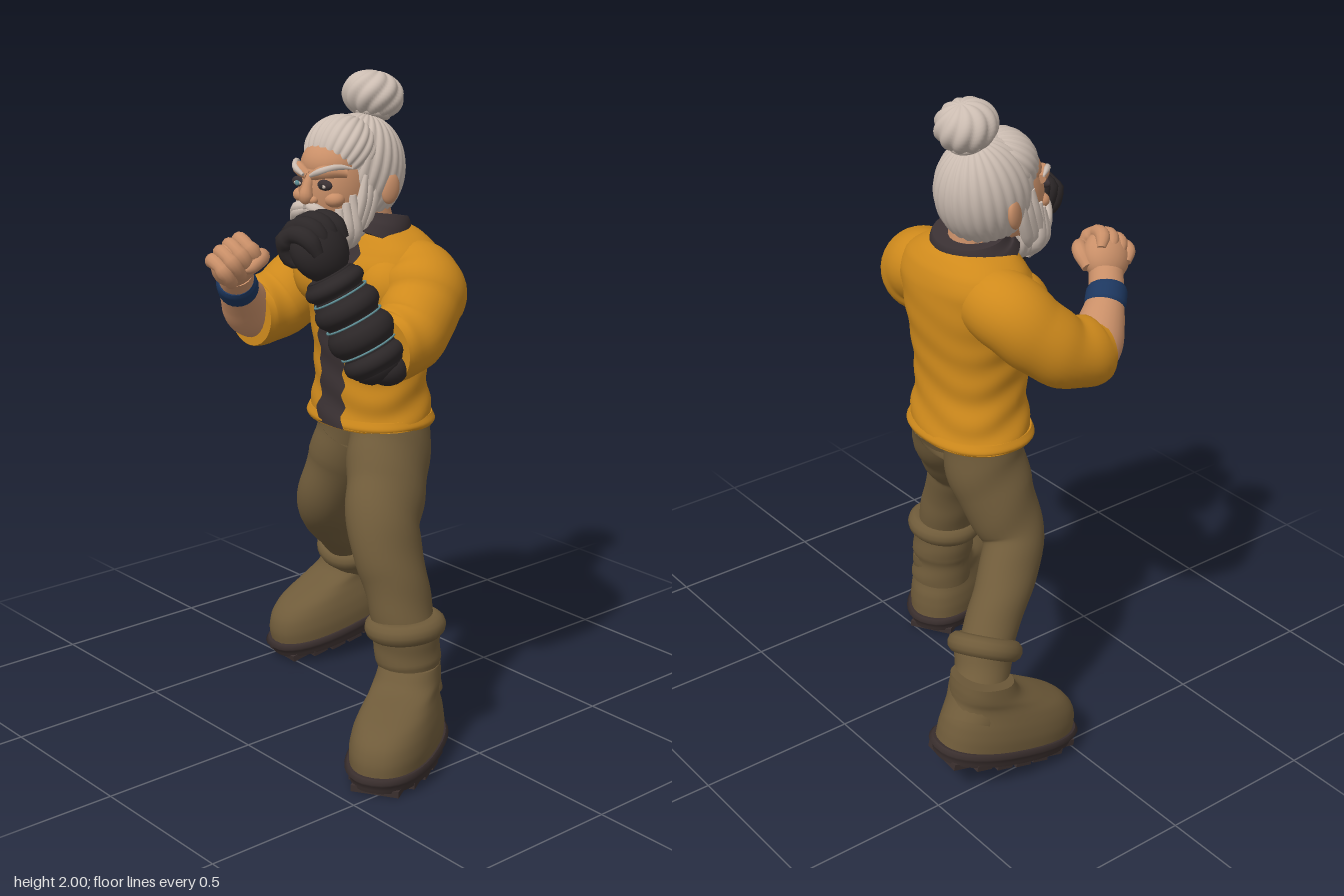
import * as THREE from 'three';
import { mergeVertices } from 'three/addons/utils/BufferGeometryUtils.js';

const V = (x, y, z) => new THREE.Vector3(x, y, z);
const mat = (name, color) => Object.assign(new THREE.MeshStandardMaterial({ color }), { name });

const jacket = mat('mustard jacket', 0xcf8a1c);
const trousers = mat('olive brown cloth', 0x6f5b3a);
const soleDark = mat('sole dark brown', 0x3a2f2e);
const skin = mat('skin', 0xc98f68);
const hair = mat('pale grey hair', 0xcbbcb1);
const black = mat('black leather', 0x2c2728);
const panel = mat('dark charcoal trim', 0x3a3133);
const blue = mat('navy wristband', 0x1d375f);
const teal = mat('teal piping', 0x5f8f96);

function add(parent, name, geo, material) {
  const m = new THREE.Mesh(geo, material);
  m.name = name;
  parent.add(m);
  return m;
}

// Skin elliptical sections [x, y, z, ra, rb] along a smooth path.
// o.ref: direction the rb axis leans to, o.level: keep sections horizontal, o.pow: squareness,
// o.fold: radius rule, o.grow: offset, o.arc: angle range by u for an open strip
function loft(parent, name, material, pts, o = {}) {
  const n = o.n ?? 28, seg = o.seg ?? 24, pow = o.pow ?? 1;
  const path = new THREE.CatmullRomCurve3(pts.map(p => V(p[0], p[1], p[2])));
  const radii = new THREE.CatmullRomCurve3(pts.map(p => V(p[3], p[4] ?? p[3], 0)));
  const frames = path.computeFrenetFrames(n);
  const cols = o.arc ? seg + 1 : seg;
  const sq = v => Math.sign(v) * Math.abs(v) ** pow;
  const rows = [];
  for (let i = 0; i <= n; i++) {
    const u = i / n, t = path.getUtoTmapping(u);
    const c = path.getPoint(t), r = radii.getPoint(t), T = o.level ? V(0, 1, 0) : frames.tangents[i];
    const side = o.ref ? T.clone().cross(V(...o.ref)).normalize() : frames.normals[i];
    const nn = side.clone().cross(T);
    const [a0, a1] = o.arc ? o.arc(u) : [0, Math.PI * 2];
    const ring = [];
    for (let j = 0; j < cols; j++) {
      const a = a0 + (a1 - a0) * j / seg;
      const f = o.fold ? o.fold(u, a) : 1, g = o.grow ?? 0;
      ring.push(c.clone().addScaledVector(side, sq(Math.cos(a)) * (r.x * f + g))
        .addScaledVector(nn, sq(Math.sin(a)) * (r.y * f + g)));
    }
    rows.push(ring);
  }
  if (!o.arc) {
    // closed ends
    const s = rows[0], e = rows[n];
    rows.unshift(s.map(() => path.getPoint(0)), s);
    rows.push(e, e.map(() => path.getPoint(1)));
  }
  const index = [];
  for (let i = 0; i < rows.length - 1; i++) for (let j = 0; j < seg; j++) {
    const k = (j + 1) % cols;
    const a = i * cols + j, b = a + cols, c = i * cols + k, d = c + cols;
    index.push(a, b, c, c, b, d);
  }
  const geo = new THREE.BufferGeometry().setFromPoints(rows.flat());
  geo.setIndex(index);
  geo.computeVertexNormals();
  return add(parent, name, geo, material);
}

// Ellipsoid whose radius may follow a rule of (angle, height)
function ball(parent, name, material, pos, size, rule, w = 24, h = 16) {
  let geo = new THREE.SphereGeometry(1, w, h);
  geo.deleteAttribute('uv');
  geo.deleteAttribute('normal');
  geo = mergeVertices(geo, 1e-5);
  const p = geo.attributes.position;
  for (let i = 0; i < p.count; i++) {
    const v = V().fromBufferAttribute(p, i);
    if (rule) v.multiplyScalar(rule(Math.atan2(v.z, v.x), v.y));
    p.setXYZ(i, v.x * size[0], v.y * size[1], v.z * size[2]);
  }
  geo.computeVertexNormals();
  const m = add(parent, name, geo, material);
  m.position.set(...pos);
  return m;
}

function ringAt(parent, name, material, pos, dir, R, r) {
  const m = add(parent, name, new THREE.TorusGeometry(R, r, 12, 32), material);
  m.position.set(...pos);
  m.quaternion.setFromUnitVectors(V(0, 0, 1), V(...dir).normalize());
}

// Clenched fist: f points to the knuckles, p out of the palm
function fist(parent, name, material, pos, f, p, thumb, scale) {
  const g = new THREE.Group();
  g.name = name;
  parent.add(g);
  const Y = V(...f).normalize();
  const X = Y.clone().cross(V(...p)).normalize();
  g.quaternion.setFromRotationMatrix(new THREE.Matrix4().makeBasis(X, Y, X.clone().cross(Y)));
  g.position.set(...pos);
  g.scale.setScalar(scale);
  ball(g, 'palm', material, [0, 0, -0.002], [0.08, 0.085, 0.062]);
  for (let i = 0; i < 4; i++) {
    const x = (i - 1.5) * 0.035, k = 0.005 * (i === 0 || i === 3 ? -1 : 1);
    loft(g, 'finger', material, [[x, -0.01, -0.042, 0.014], [x, 0.04 + k, -0.037, 0.024], [x, 0.066 + k, 0.0, 0.023],
      [x, 0.053 + k, 0.04, 0.023], [x, 0.01, 0.05, 0.02], [x, -0.01, 0.035, 0.01]], { n: 16, seg: 12 });
  }
  loft(g, 'thumb', material, [[thumb * 0.05, -0.06, 0.01, 0.02], [thumb * 0.074, -0.01, 0.032, 0.026],
    [thumb * 0.058, 0.028, 0.06, 0.023], [thumb * 0.02, 0.036, 0.068, 0.019], [0, 0.036, 0.064, 0.007]], { n: 16, seg: 12 });
}

// Boot: foot in its own frame, then shaft and rolled cuff
function boot(parent, pos, yaw, pitch, shaft, cuffR) {
  const g = new THREE.Group();
  g.name = 'boot';
  g.position.set(...pos);
  g.rotation.set(pitch, yaw, 0, 'YXZ');
  parent.add(g);
  const o = { ref: [0, 0, 1], level: true, pow: 0.86, seg: 36, n: 24 };
  loft(g, 'bootFoot', trousers, [[0, 0.05, 0.128, 0.122, 0.238], [0, 0.09, 0.128, 0.124, 0.237], [0, 0.135, 0.122, 0.119, 0.226],
    [0, 0.17, 0.108, 0.109, 0.2], [0, 0.198, 0.072, 0.1, 0.158], [0, 0.23, 0.02, 0.097, 0.11], [0, 0.27, 0, 0.09, 0.094]], o);
  loft(g, 'sole', soleDark, [[0, 0.012, 0.128, 0.122, 0.24], [0, 0.04, 0.128, 0.128, 0.248], [0, 0.06, 0.128, 0.128, 0.248]], { ...o, n: 4 });
  for (let i = 0; i < 7; i++) {
    const z = -0.07 + i * 0.066;
    const half = 0.12 * Math.sqrt(1 - ((z - 0.128) / 0.25) ** 2);
    add(g, 'soleTread', new THREE.BoxGeometry(half * 2, 0.02, 0.054), soleDark).position.set(0, 0.01, z);
  }
  loft(parent, 'bootShaft', trousers, shaft, { fold: (u, a) => 1 + 0.015 * Math.sin(14 * u + 2 * Math.sin(a)) });
  const a = V(...shaft[0]), b = V(...shaft.at(-1));
  ringAt(parent, 'bootCuff', trousers, b.toArray(), b.clone().sub(a).toArray(), cuffR, 0.034);
}

function buildHead(parent) {
  const g = new THREE.Group();
  g.name = 'head';
  g.position.set(-0.055, 1.68, 0.04);
  g.rotation.y = 0.12;
  parent.add(g);
  const ridges = (k, amp, twist = 0) => (a, y) => 1 + amp * Math.abs(Math.sin(k * a + twist * y)) * Math.sqrt(Math.max(0, 1 - y * y));

  ball(g, 'face', skin, [0, -0.01, 0.055], [0.108, 0.16, 0.125], null, 32, 24);
  ball(g, 'forehead', skin, [0, 0.065, 0.077], [0.094, 0.075, 0.092]);
  // hair swept back from the brow to the bun
  const cap = ball(g, 'sweptHair', hair, [0, 0.035, -0.03], [0.132, 0.165, 0.15], ridges(13, 0.045, 1.2), 168, 28);
  cap.rotation.x = -0.3;
  const front = ball(g, 'frontHair', hair, [0, 0.098, 0.036], [0.112, 0.106, 0.1], ridges(12, 0.05), 168, 28);
  front.rotation.x = -0.75;
  const bun = ball(g, 'hairBun', hair, [-0.008, 0.247, -0.11], [0.086, 0.071, 0.084], ridges(5, 0.12, 2.5), 112, 24);
  bun.rotation.x = -0.3;
  ringAt(g, 'bunTie', hair, [-0.006, 0.195, -0.1], [0, 1, -0.3], 0.045, 0.014);
  // beard mass and hanging locks
  ball(g, 'beard', hair, [0, -0.12, 0.085], [0.1, 0.09, 0.095], ridges(11, 0.06), 110, 20);
  for (let i = -6; i <= 6; i++) {
    const q = i / 6, a = q * 1.4, s = Math.sin(a), c = Math.cos(a);
    loft(g, 'beardLock', hair, [[s * 0.1, -0.085 + 0.07 * q * q, 0.08 + c * 0.09, 0.012], [s * 0.102, -0.13, 0.075 + c * 0.098, 0.025],
      [s * 0.08, -0.18 + 0.02 * q * q, 0.08 + c * 0.075, 0.021], [s * 0.05, -0.228 + 0.04 * q * q, 0.09 + c * 0.05, 0.004]], { n: 14, seg: 9 });
  }
  loft(g, 'lowerLip', skin, [[-0.025, -0.086, 0.175, 0.004], [0, -0.083, 0.188, 0.009], [0.025, -0.086, 0.175, 0.004]], { n: 10, seg: 8 });

  for (const s of [-1, 1]) {
    for (let k = 0; k < 3; k++) {
      loft(g, 'sideburn', hair, [[s * 0.112, 0.04, 0.005 + k * 0.024, 0.008], [s * 0.109, -0.04, 0.02 + k * 0.026, 0.018],
        [s * 0.1, -0.11, 0.05 + k * 0.024, 0.02], [s * 0.082, -0.16, 0.075 + k * 0.02, 0.005]], { n: 12, seg: 8 });
    }
    for (let k = 0; k < 2; k++) {
      loft(g, 'moustache', hair, [[s * 0.004, -0.048 - k * 0.01, 0.188, 0.009], [s * 0.035, -0.056 - k * 0.014, 0.185, 0.019],
        [s * 0.075, -0.085 - k * 0.015, 0.158, 0.016], [s * 0.098, -0.125 - k * 0.01, 0.13, 0.004]], { n: 14, seg: 9 });
    }
    loft(g, 'browRidge', skin, [[s * 0.008, 0.038, 0.168, 0.014], [s * 0.05, 0.054, 0.163, 0.02], [s * 0.092, 0.049, 0.112, 0.014]], { n: 12, seg: 10 });
    loft(g, 'eyebrow', hair, [[s * 0.014, 0.042, 0.186, 0.005], [s * 0.05, 0.058, 0.179, 0.01], [s * 0.085, 0.07, 0.142, 0.009], [s * 0.108, 0.064, 0.105, 0.003]], { n: 14, seg: 9 });
    ball(g, 'eyeSocket', panel, [s * 0.05, 0.016, 0.163], [0.03, 0.016, 0.012]);
    ball(g, 'eye', hair, [s * 0.05, 0.013, 0.17], [0.016, 0.007, 0.009]);
    ball(g, 'iris', s < 0 ? teal : black, [s * 0.048, 0.013, 0.176], [0.009, 0.008, 0.005]);
    ball(g, 'nostril', skin, [s * 0.02, -0.03, 0.178], [0.014, 0.012, 0.014]);
    ball(g, 'cheek', skin, [s * 0.062, -0.028, 0.135], [0.034, 0.024, 0.03]);
    const ear = ball(g, 'ear', skin, [s * 0.13, -0.01, -0.035], [0.016, 0.046, 0.03]);
    ear.rotation.set(-0.2, s * -0.3, 0);
  }
  loft(g, 'nose', skin, [[0, 0.045, 0.166, 0.012], [0, 0.008, 0.182, 0.016], [0, -0.022, 0.188, 0.022], [0, -0.038, 0.176, 0.01]], { n: 14, seg: 12 });
}

export function createModel() {
  const g = new THREE.Group();
  g.name = 'bearded fighter';
  const Z = [0, 0, 1];

  // jacket body with collar and ragged front panel
  const torso = [[-0.04, 0.945, -0.027, 0.212, 0.165], [-0.036, 1.0, -0.025, 0.198, 0.158], [-0.03, 1.1, -0.018, 0.184, 0.15],
    [-0.026, 1.22, -0.016, 0.194, 0.156], [-0.024, 1.34, -0.016, 0.22, 0.168], [-0.024, 1.44, -0.023, 0.24, 0.162],
    [-0.025, 1.5, -0.03, 0.215, 0.138], [-0.028, 1.54, -0.025, 0.155, 0.112], [-0.03, 1.555, -0.02, 0.11, 0.09]];
  const fold = (u, a) => 1 + 0.022 * Math.sin(36 * u + 2.5 * Math.sin(2 * a)) * (1 - u);
  const body = { ref: Z, level: true, pow: 0.88, fold, n: 64, seg: 48 };
  loft(g, 'jacketBody', jacket, torso, body);
  for (const s of [-1, 1]) ball(g, 'chest', jacket, [-0.025 + s * 0.15, 1.385, 0.045], [0.1, 0.1, 0.092]);
  const tri = v => Math.abs(((v % 1) + 1) % 1 - 0.5) * 2;
  loft(g, 'frontPanel', panel, torso, { ...body, grow: 0.006, seg: 10, arc: u => {
    const w = 0.19 + 0.35 * Math.max(0, u - 0.55);
    return [Math.PI / 2 - w - 0.09 * tri(u * 9), Math.PI / 2 + w + 0.09 * tri(u * 8 + 0.4)];
  } });
  loft(g, 'jacketHem', jacket, [[-0.04, 0.94, -0.027, 0.21, 0.165], [-0.04, 0.952, -0.027, 0.217, 0.17], [-0.039, 0.975, -0.026, 0.207, 0.162]],
    { ref: Z, level: true, pow: 0.88, n: 8, seg: 48 });
  loft(g, 'collar', panel, [[-0.03, 1.51, 0.005, 0.15, 0.125], [-0.03, 1.55, -0.015, 0.14, 0.118], [-0.032, 1.585, -0.022, 0.122, 0.104]], { ref: Z, n: 10, seg: 32 });
  loft(g, 'neck', skin, [[-0.035, 1.53, -0.01, 0.085], [-0.045, 1.6, 0, 0.083], [-0.05, 1.67, 0.01, 0.09]]);
  buildHead(g);

  // sleeves
  const crease = { fold: (u, a) => 1 + 0.025 * Math.sin(22 * u + 2 * Math.sin(a)) * u, n: 36, seg: 32 };
  loft(g, 'rightSleeve', jacket, [[-0.16, 1.415, -0.05, 0.11], [-0.245, 1.4, -0.04, 0.118], [-0.3, 1.34, 0.01, 0.115],
    [-0.333, 1.275, 0.09, 0.11], [-0.338, 1.25, 0.18, 0.106], [-0.336, 1.25, 0.212, 0.098]], crease);
  loft(g, 'leftSleeve', jacket, [[0.11, 1.415, -0.05, 0.11], [0.185, 1.4, -0.035, 0.117], [0.235, 1.345, 0.015, 0.117],
    [0.26, 1.285, 0.08, 0.113], [0.27, 1.258, 0.15, 0.107], [0.272, 1.255, 0.185, 0.098]], crease);

  // bare right arm
  loft(g, 'rightForearm', skin, [[-0.35, 1.23, 0.13, 0.07], [-0.345, 1.255, 0.2, 0.08], [-0.312, 1.315, 0.255, 0.07],
    [-0.272, 1.37, 0.305, 0.054], [-0.23, 1.42, 0.34, 0.052]]);
  loft(g, 'wristband', blue, [[-0.295, 1.343, 0.282, 0.056], [-0.286, 1.353, 0.291, 0.063], [-0.266, 1.378, 0.313, 0.062], [-0.257, 1.388, 0.321, 0.055]], { n: 12 });
  fist(g, 'rightFist', skin, [-0.195, 1.455, 0.367], [0.49, 0.63, 0.61], [0.8, -0.5, -0.1], 1, 0.97);

  // gauntlet on the left arm
  const A = V(0.287, 1.2, 0.215), B = V(0.172, 1.475, 0.31), dir = B.clone().sub(A).normalize();
  const along = (t, r) => [...A.clone().lerp(B, t).toArray(), r];
  loft(g, 'gauntletArm', black, [along(-0.08, 0.045), along(0, 0.072), along(0.3, 0.081), along(0.7, 0.078), along(1, 0.068)]);
  for (const [t0, t1, r] of [[0.02, 0.23, 0.081], [0.25, 0.51, 0.088], [0.54, 0.77, 0.086], [0.8, 0.99, 0.078]]) {
    loft(g, 'gauntletBand', black, [along(t0, r - 0.005), along(t0 + 0.03, r), along(t1 - 0.03, r), along(t1, r - 0.005)], { n: 12 });
  }
  for (const [t, r] of [[0.24, 0.085], [0.525, 0.086], [0.785, 0.082]]) {
    ringAt(g, 'gauntletPiping', teal, along(t).slice(0, 3), dir.toArray(), r, 0.003);
  }
  ball(g, 'elbowPad', black, [0.3, 1.205, 0.2], [0.06, 0.05, 0.06]);
  fist(g, 'leftFist', black, [0.137, 1.545, 0.32], [-0.38, 0.86, 0.3], [-0.85, -0.42, 0.1], -1, 1.17);

  // trousers
  const wrinkle = { ref: Z, n: 40, seg: 28, fold: (u, a) => 1 + 0.02 * Math.sin(26 * u + 2.5 * Math.sin(a)) };
  loft(g, 'trouserSeat', trousers, [[-0.038, 0.98, -0.027, 0.185, 0.145], [-0.036, 0.93, -0.03, 0.196, 0.152],
    [-0.034, 0.89, -0.03, 0.17, 0.138], [-0.032, 0.86, -0.028, 0.11, 0.105], [-0.032, 0.845, -0.025, 0.05, 0.06]],
    { ref: Z, level: true, n: 20, seg: 36 });
  loft(g, 'rightLeg', trousers, [[-0.125, 0.95, -0.045, 0.105, 0.13], [-0.136, 0.87, -0.043, 0.109, 0.132], [-0.168, 0.78, -0.03, 0.105, 0.126],
    [-0.235, 0.62, -0.01, 0.088, 0.1], [-0.305, 0.5, -0.11, 0.083, 0.088], [-0.372, 0.385, -0.23, 0.08, 0.08]], wrinkle);
  loft(g, 'leftLeg', trousers, [[0.055, 0.95, -0.03, 0.105, 0.135], [0.08, 0.87, 0.0, 0.112, 0.135], [0.125, 0.78, 0.05, 0.108, 0.13],
    [0.19, 0.66, 0.118, 0.1, 0.116], [0.242, 0.53, 0.12, 0.092, 0.104], [0.286, 0.38, 0.116, 0.09, 0.095]], wrinkle);

  // boots
  boot(g, [-0.428, 0.074, -0.335], -0.08, 0.2, [[-0.434, 0.2, -0.32, 0.096], [-0.41, 0.29, -0.275, 0.092], [-0.368, 0.385, -0.222, 0.092]], 0.082);
  boot(g, [0.307, 0, 0.113], 0.55, 0, [[0.304, 0.18, 0.112, 0.1], [0.297, 0.28, 0.112, 0.1], [0.29, 0.385, 0.118, 0.103]], 0.09);
  return g;
}
